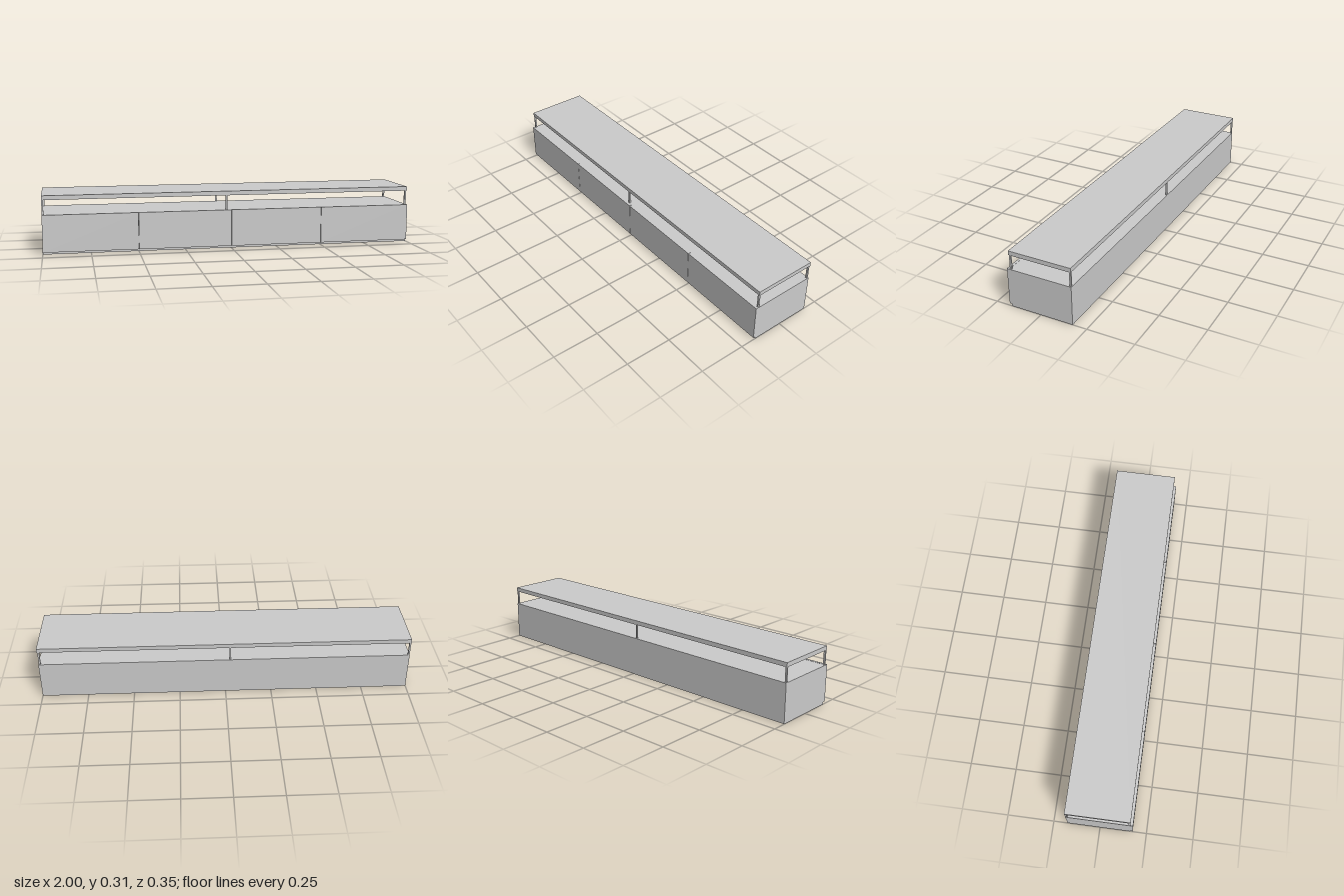
import * as THREE from 'three';

export function createModel() {
  const model = new THREE.Group();
  const material = new THREE.MeshStandardMaterial({ color: 0xcccccc });

  // Box given by its lower and upper limits on each axis
  function addBox(name, [x0, x1], [y0, y1], [z0, z1]) {
    const mesh = new THREE.Mesh(new THREE.BoxGeometry(x1 - x0, y1 - y0, z1 - z0), material);
    mesh.position.set((x0 + x1) / 2, (y0 + y1) / 2, (z0 + z1) / 2);
    mesh.name = name;
    model.add(mesh);
  }

  const back = -0.175, front = 0.163;
  const bodyTop = 0.208, slabBottom = 0.286, slabTop = 0.309;

  // Long closed cabinet
  addBox('cabinetBody', [-1, 1], [0, bodyTop], [back, front]);

  // Four door fronts with hairline gaps, raised slightly off the floor
  const gap = 0.001;
  for (let i = 0; i < 4; i++) {
    const x = -1 + i * 0.5;
    addBox('doorFront' + (i + 1),
      [x + (i > 0 ? gap : 0), x + 0.5 - (i < 3 ? gap : 0)],
      [0.012, 0.209], [front, 0.176]);
  }

  // Slim posts at both ends and the middle, front and back
  const post = 0.009;
  for (const x of [-0.995, -0.025, 0.992]) {
    for (const z of [back + 0.006, front - 0.006]) {
      addBox('post', [x - post / 2, x + post / 2], [bodyTop, slabBottom], [z - post / 2, z + post / 2]);
    }
  }

  // Floating top board
  addBox('topBoard', [-1, 1], [slabBottom, slabTop], [back, front]);

  return model;
}
